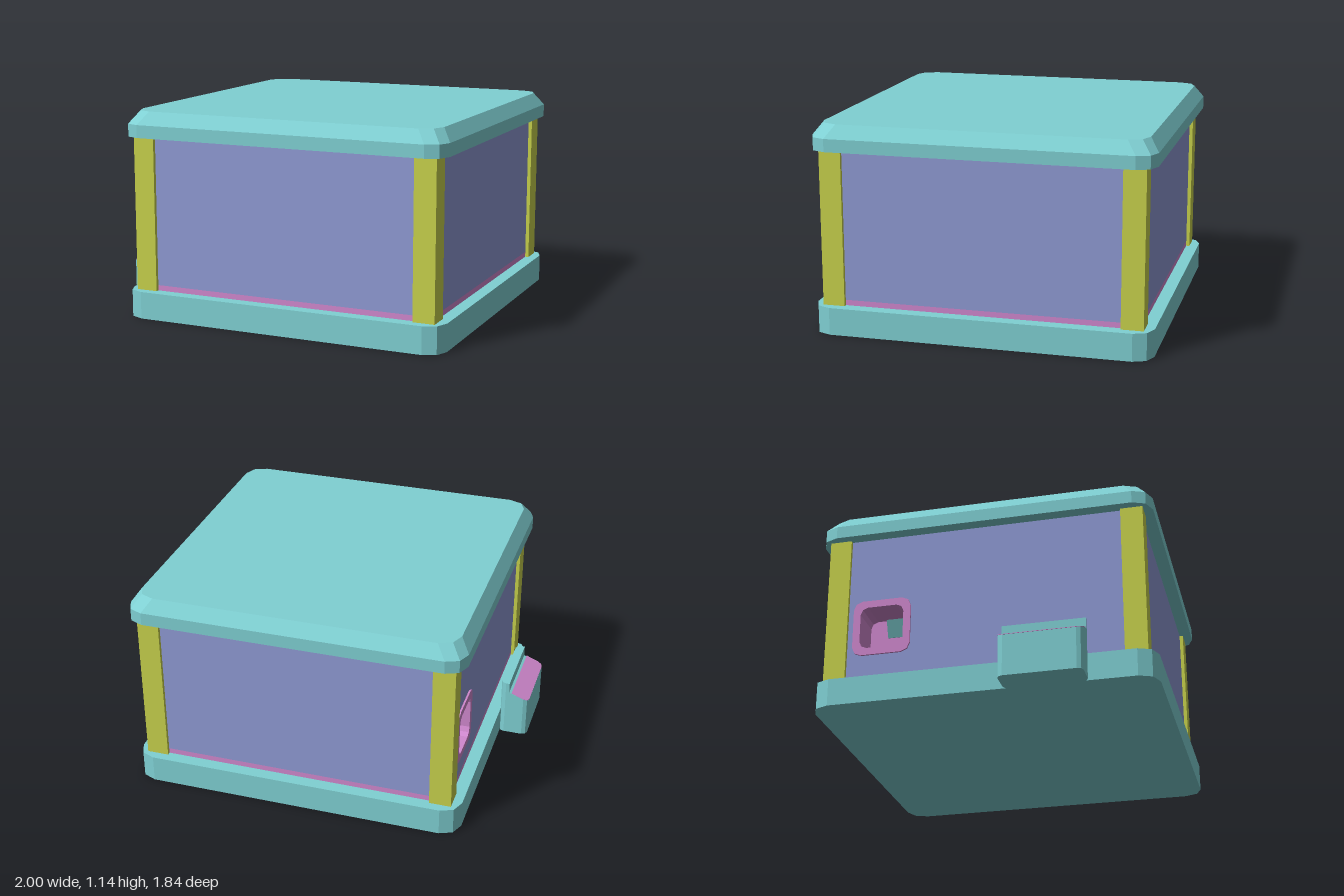
import * as THREE from 'three';

const mat = (color) => new THREE.MeshStandardMaterial({ color, flatShading: true, side: THREE.DoubleSide });

// Rectangle with faceted corners; rL and rR are the corner radii at the low and high x ends
function roundedRect(x0, x1, y0, y1, rL, rR = rL, segments = 2) {
  const pts = [];
  const corners = [[x1, y1, rR, -1, -1], [x0, y1, rL, 1, -1], [x0, y0, rL, 1, 1], [x1, y0, rR, -1, 1]];
  corners.forEach(([x, y, r, sx, sy], i) => {
    if (r === 0) { pts.push(new THREE.Vector2(x, y)); return; }
    for (let k = 0; k <= segments; k++) {
      const a = (i + k / segments) * Math.PI / 2;
      pts.push(new THREE.Vector2(x + sx * r + r * Math.cos(a), y + sy * r + r * Math.sin(a)));
    }
  });
  return pts;
}

// Upright block from a floor plan, optionally reshaped by a rule on its vertices
function planBlock(points, height, rule, steps = 1) {
  const g = new THREE.ExtrudeGeometry(new THREE.Shape(points), { depth: height, steps, bevelEnabled: false });
  g.rotateX(-Math.PI / 2);
  if (rule) {
    const p = g.attributes.position;
    const v = new THREE.Vector3();
    for (let i = 0; i < p.count; i++) {
      rule(v.fromBufferAttribute(p, i));
      p.setXYZ(i, v.x, v.y, v.z);
    }
    g.computeVertexNormals();
  }
  return g;
}

// Panel drawn in (z, y) with an optional hole, reaching from x0 back to x0 - depth
function sidePanel(outline, hole, x0, depth) {
  const shape = new THREE.Shape(outline);
  if (hole) shape.holes.push(new THREE.Path(hole));
  return new THREE.ExtrudeGeometry(shape, { depth, bevelEnabled: false })
    .rotateY(-Math.PI / 2).translate(x0, 0, 0);
}

export function createModel() {
  const model = new THREE.Group();
  model.name = 'cabin';
  const teal = mat(0x7fd0d3), purple = mat(0x8f9ad4), yellow = mat(0xc8d24c), pink = mat(0xd088ce);
  const cx = 0.08; // body centre, shifted by the side box

  const add = (parent, name, geometry, material, x = 0, y = 0, z = 0) => {
    const mesh = new THREE.Mesh(geometry, material);
    mesh.name = name;
    mesh.position.set(x, y, z);
    parent.add(mesh);
    return mesh;
  };
  const box = (w, h, d) => new THREE.BoxGeometry(w, h, d);

  // Base slab and roof with sloped rim
  const slab = roundedRect(-0.92, 0.92, -0.92, 0.92, 0.1);
  add(model, 'base', planBlock(slab, 0.15), teal, cx);
  add(model, 'roof', planBlock(slab, 0.14, (v) => {
    if (v.y > 0.1) {
      v.x -= Math.sign(v.x) * 0.05;
      v.z -= Math.sign(v.z) * 0.05;
    }
  }, 2), teal, cx, 1.0);

  // Floor plate
  add(model, 'floor', box(1.7, 0.03, 1.7), pink, cx, 0.165, 0);

  // Corner posts
  for (const sx of [-1, 1]) for (const sz of [-1, 1]) {
    add(model, 'cornerPost', box(0.12, 0.85, 0.12), yellow, cx + sx * 0.81, 0.575, sz * 0.81);
  }

  // Wall panels; the one on the right has a hatch opening
  for (const sz of [-1, 1]) add(model, 'wall', box(1.5, 0.82, 0.03), purple, cx, 0.59, sz * 0.835);
  add(model, 'wall', box(0.03, 0.82, 1.5), purple, cx + 0.835, 0.59, 0);
  const opening = roundedRect(-0.72, -0.4, 0.3, 0.62, 0.05);
  add(model, 'hatchWall', sidePanel(roundedRect(-0.75, 0.75, 0.18, 1.0, 0), opening, -0.74, 0.03), purple);

  // Hatch: a recessed frame with a back and a small flap
  const hatch = new THREE.Group();
  hatch.name = 'hatch';
  model.add(hatch);
  const inner = roundedRect(-0.68, -0.44, 0.34, 0.58, 0.04);
  add(hatch, 'hatchFrame', sidePanel(opening, inner, -0.6, 0.18), pink);
  add(hatch, 'hatchBack', sidePanel(opening, null, -0.58, 0.02), pink);
  add(hatch, 'hatchFlap', box(0.02, 0.1, 0.14), teal, -0.64, 0.51, -0.5).rotation.z = 0.4;

  // Side box: sloped front, raised back and a coloured top plate
  const sideBox = new THREE.Group();
  sideBox.name = 'sideBox';
  sideBox.position.z = 0.35;
  model.add(sideBox);
  const slope = (x) => Math.min(0.27, 0.225 + (x + 1) * 0.41);
  add(sideBox, 'sideBoxFront', planBlock(roundedRect(-1, -0.885, -0.22, 0.22, 0.03, 0), 0.2,
    (v) => { if (v.y > 0.1) v.y = slope(v.x); }), teal);
  add(sideBox, 'sideBoxBack', planBlock(roundedRect(-0.885, -0.835, -0.22, 0.22, 0, 0.03), 0.33), teal);
  add(sideBox, 'sideBoxPlate', planBlock(roundedRect(-1, -0.9, -0.22, 0.22, 0.03, 0), 0.2,
    (v) => { v.y = slope(v.x) + (v.y > 0.1 ? 0.004 : 0.001); }), pink);

  return model;
}
